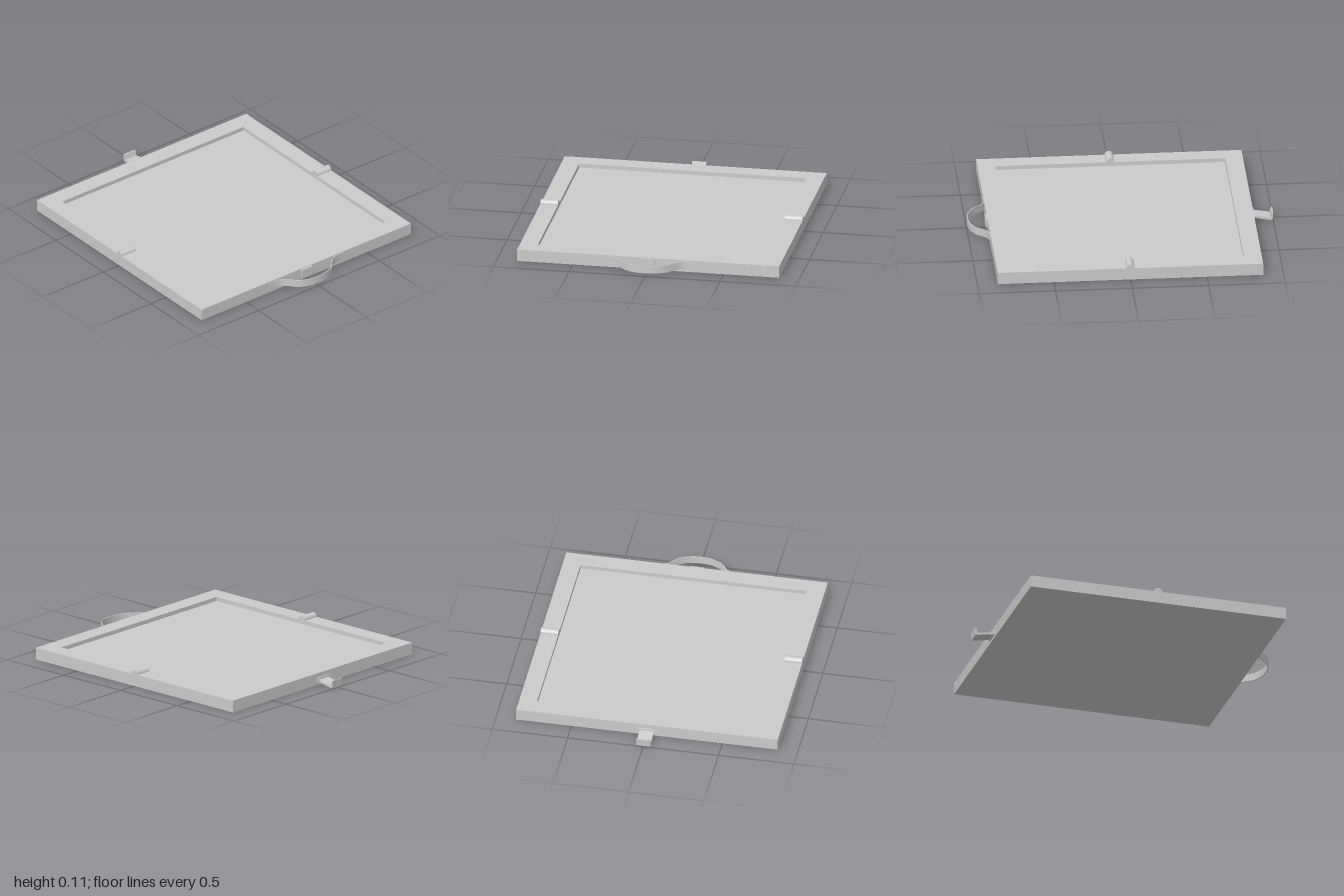
import * as THREE from 'three';
import { toCreasedNormals } from 'three/addons/utils/BufferGeometryUtils.js';

const HALF = 0.867, INNER = 0.75, TOP = 0.08, FLOOR = 0.053;

export function createModel() {
  const model = new THREE.Group();
  const material = new THREE.MeshStandardMaterial({ color: 0xcccccc });

  const add = (name, geometry, x = 0, y = 0, z = 0) => {
    const mesh = new THREE.Mesh(geometry, material);
    mesh.name = name;
    mesh.position.set(x, y, z);
    model.add(mesh);
    return mesh;
  };
  const square = (h, Type) => new Type(
    [[-h, -h], [h, -h], [h, h], [-h, h]].map(([x, y]) => new THREE.Vector2(x, y)));
  const extrude = (shape, depth) =>
    new THREE.ExtrudeGeometry(shape, { depth, bevelEnabled: false });

  // Flat base panel with a raised border around the recess
  add('basePanel', new THREE.BoxGeometry(2 * HALF, FLOOR, 2 * HALF), 0, FLOOR / 2, 0);
  const border = square(HALF, THREE.Shape);
  border.holes.push(square(INNER, THREE.Path));
  add('raisedBorder', extrude(border, TOP - FLOOR).rotateX(-Math.PI / 2), 0, FLOOR, 0);

  // Half-round pegs lying across the front and back borders
  const pegLength = HALF - INNER;
  for (const side of [1, -1]) {
    const peg = new THREE.CylinderGeometry(0.027, 0.027, pegLength, 24).rotateX(Math.PI / 2);
    add(side > 0 ? 'frontPeg' : 'backPeg', peg, 0, TOP, side * (HALF - pegLength / 2));
  }

  // Bowed strap handle: half the path is mirrored, then given thickness
  const half = [[0.87, 0.307], [0.87, 0.24], [0.89, 0.198], [0.957, 0.142], [0.985, 0.085], [0.995, 0.04]];
  const path = [...half, [0.998, 0], ...half.map(([x, z]) => [x, -z]).reverse()]
    .map(([x, z]) => new THREE.Vector2(x, z));
  const inner = path.map((p, i) => {
    const t = path[Math.min(i + 1, path.length - 1)].clone().sub(path[Math.max(i - 1, 0)]).normalize();
    return new THREE.Vector2(p.x + t.y * 0.006, p.y - t.x * 0.006);
  });
  const strap = extrude(new THREE.Shape([...path, ...inner.reverse()]), 0.05).rotateX(-Math.PI / 2);
  add('strapHandle', toCreasedNormals(strap, 0.8), 0, 0.021, 0);

  // Small catch behind the strap
  add('catch', new THREE.BoxGeometry(0.02, 0.054, 0.09), 0.87, 0.048, 0);

  // Sloping tab with an upturned lip
  const tab = [[-0.86, 0.045], [-0.88, 0.036], [-0.982, 0.019], [-0.991, 0.054], [-0.999, 0.054],
    [-0.995, 0.003], [-0.975, 0.004], [-0.88, 0.021], [-0.86, 0.021]]
    .map(([x, y]) => new THREE.Vector2(x, y));
  add('tab', extrude(new THREE.Shape(tab), 0.094), 0, 0, -0.047);
  add('tabMount', new THREE.BoxGeometry(0.02, 0.03, 0.108), -0.867, 0.034, 0);

  return model;
}
